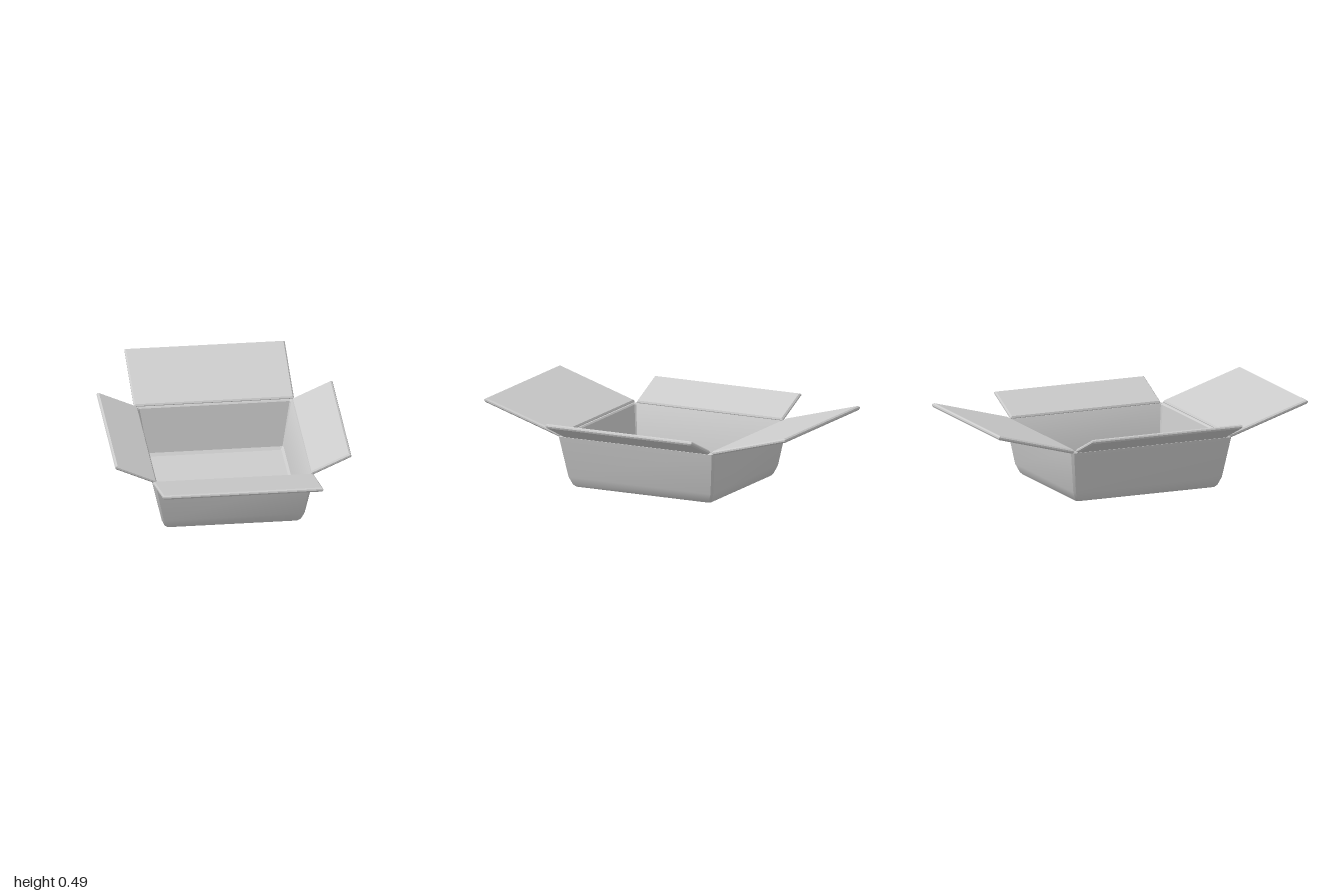
import * as THREE from 'three';
import { toCreasedNormals } from 'three/addons/utils/BufferGeometryUtils.js';

const material = new THREE.MeshStandardMaterial({ color: 0xcccccc });
const CENTRE_Z = -0.009;

// Rectangle ring with small cut corners: half sizes x and z, height y
function ring(x, z, y, cut) {
  return [
    [x, z - cut], [x - cut, z], [cut - x, z], [-x, z - cut],
    [-x, cut - z], [cut - x, -z], [x - cut, -z], [x, cut - z],
  ].map(([px, pz]) => [px, y, pz + CENTRE_Z]);
}

// Open tray: skin runs from the underside, up the outside, over the rim and down to the floor
function trayGeometry() {
  const rings = [
    ring(0.392, 0.448, 0, 0.01),
    ring(0.404, 0.459, 0.012, 0.011),
    ring(0.423, 0.48, 0.06, 0.012),
    ring(0.476, 0.518, 0.312, 0.014),
    ring(0.469, 0.511, 0.32, 0.012),
    ring(0.457, 0.496, 0.32, 0.008),
    ring(0.452, 0.489, 0.312, 0.008),
    ring(0.404, 0.453, 0.036, 0.006),
    ring(0.39, 0.438, 0.02, 0.006),
  ];
  const n = rings[0].length;
  const index = [];
  for (let r = 0; r < rings.length - 1; r++) {
    for (let i = 0; i < n; i++) {
      const a = r * n + i, b = r * n + (i + 1) % n;
      index.push(a, a + n, b, b, a + n, b + n);
    }
  }
  // Underside and inner floor
  const floor = (rings.length - 1) * n;
  for (let i = 1; i < n - 1; i++) {
    index.push(0, i, i + 1);
    index.push(floor, floor + i + 1, floor + i);
  }
  const geometry = new THREE.BufferGeometry();
  geometry.setAttribute('position', new THREE.Float32BufferAttribute(rings.flat(2), 3));
  geometry.setIndex(index);
  return toCreasedNormals(geometry, 0.5);
}

// Flap: bevelled board hinged at one edge, rising outward from the rim
function flap(name, { width, start, end, yaw, x = 0, z = 0 }) {
  const [d0, y0] = start, [d1, y1] = end;
  const length = Math.hypot(d1 - d0, y1 - y0);
  const thickness = 0.025, bevel = 0.008;
  const shape = new THREE.Shape();
  shape.moveTo(-width / 2, 0);
  shape.lineTo(width / 2, 0);
  shape.lineTo(width / 2, length);
  shape.lineTo(-width / 2, length);
  shape.closePath();
  const geometry = new THREE.ExtrudeGeometry(shape, {
    depth: thickness - 2 * bevel, bevelThickness: bevel,
    bevelSize: bevel, bevelOffset: -bevel, bevelSegments: 1,
  });
  geometry.translate(0, 0, bevel - thickness / 2);
  const mesh = new THREE.Mesh(geometry, material);
  mesh.name = name;
  mesh.rotation.order = 'YXZ';
  mesh.rotation.set(Math.PI / 2 - Math.atan2(y1 - y0, d1 - d0), yaw, 0);
  mesh.position.set(x + Math.sin(yaw) * d0, y0, z + Math.cos(yaw) * d0);
  return mesh;
}

export function createModel() {
  const group = new THREE.Group();
  group.name = 'openBox';

  const tray = new THREE.Mesh(trayGeometry(), material);
  tray.name = 'boxBody';
  group.add(tray);

  // Long flaps, front and back
  group.add(flap('frontFlap', { width: 0.948, start: [0.496, 0.32], end: [0.998, 0.479], yaw: 0, x: -0.002 }));
  group.add(flap('backFlap', { width: 0.948, start: [0.512, 0.32], end: [0.998, 0.452], yaw: Math.PI, x: -0.002 }));

  // Short flaps, left and right
  for (const side of [1, -1]) {
    group.add(flap(side > 0 ? 'leftFlap' : 'rightFlap', {
      width: 0.968, start: [0.46, 0.32], end: [0.697, 0.428], yaw: side * Math.PI / 2, z: -0.01,
    }));
  }
  return group;
}
